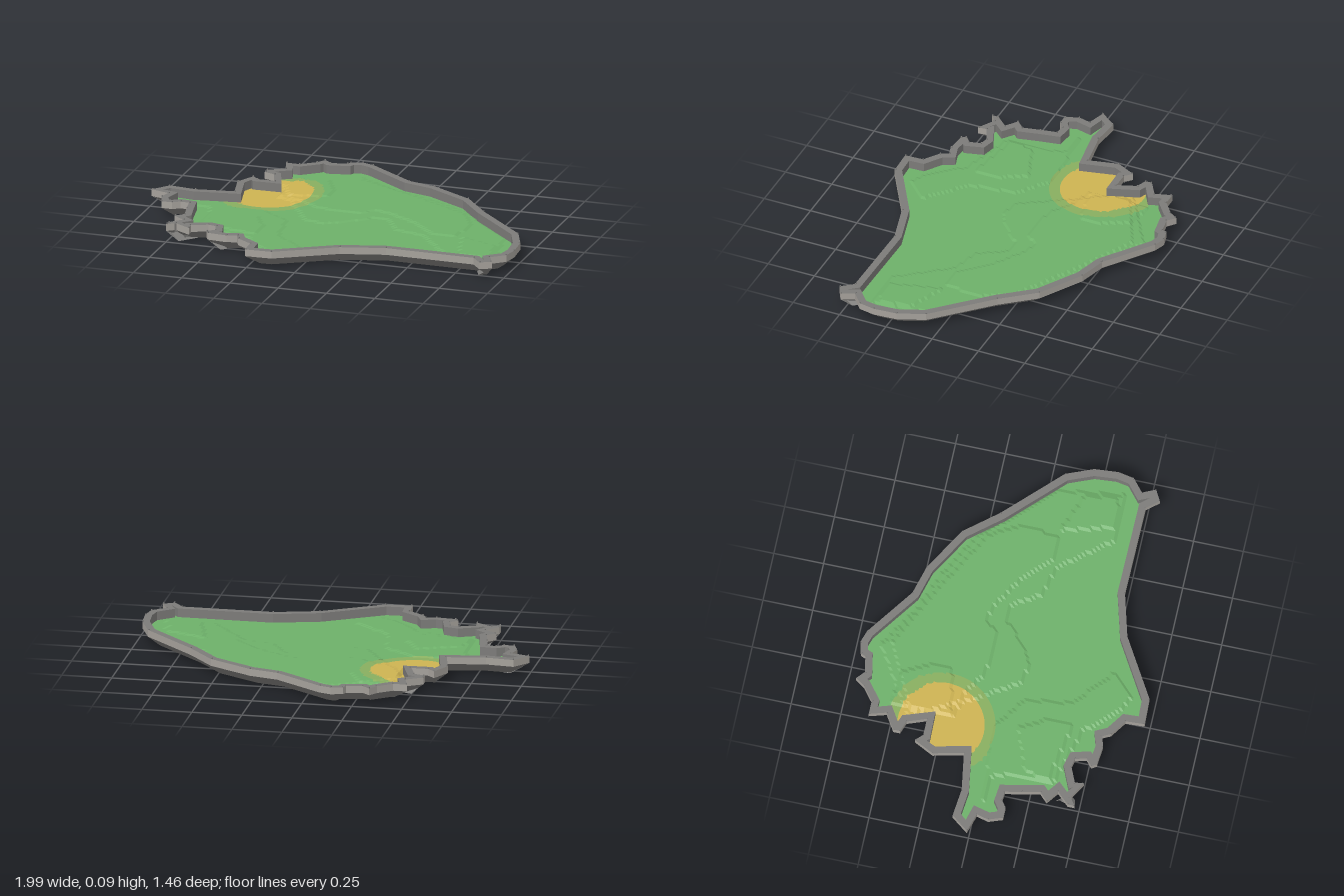
import * as THREE from 'three';

const mat = (name, color) => {
  const m = new THREE.MeshStandardMaterial({ color, side: THREE.DoubleSide, flatShading: true });
  m.name = name;
  return m;
};

// Ragged coastline as x, z pairs, clockwise seen from above
const coast = pairs([
  -0.995, -0.01, -0.93, -0.095, -0.79, -0.08, -0.6, -0.11, -0.635, -0.26, -0.585, -0.36, -0.55, -0.325,
  -0.465, -0.325, -0.5, -0.42, -0.555, -0.44, -0.555, -0.475, -0.475, -0.525, -0.5, -0.61, -0.43, -0.61,
  -0.36, -0.665, -0.33, -0.71, -0.29, -0.675, -0.21, -0.69, -0.2, -0.715, -0.14, -0.73, -0.08, -0.71,
  0.165, -0.535, 0.31, -0.495, 0.53, -0.365, 0.665, -0.2, 0.93, 0.065, 0.985, 0.2, 0.995, 0.32,
  0.98, 0.4, 0.915, 0.455, 0.945, 0.52, 0.89, 0.55, 0.84, 0.49, 0.385, 0.485, 0.165, 0.545,
  -0.13, 0.72, -0.265, 0.725, -0.27, 0.63, -0.35, 0.575, -0.37, 0.535, -0.42, 0.55, -0.52, 0.54,
  -0.535, 0.515, -0.5, 0.485, -0.515, 0.43, -0.555, 0.42, -0.635, 0.455, -0.63, 0.5, -0.715, 0.45,
  -0.755, 0.48, -0.755, 0.445, -0.7, 0.385, -0.76, 0.34, -0.72, 0.3, -0.74, 0.21, -0.755, 0.13,
  -0.8, 0.125, -0.835, 0.15, -0.89, 0.15, -0.915, 0.08, -0.9, 0.02,
]);

// Each terrace raises the ground by one step
const terraces = [
  [0.1, -0.5, 0.3, -0.42, 0.55, -0.28, 0.85, 0.05, 0.9, 0.38, 0.66, 0.38, 0.46, 0.13, 0.3, 0.08,
    0.22, -0.05, 0.14, -0.06, 0.03, 0.05, -0.075, 0.105, -0.17, 0.08, -0.3, -0.13, -0.46, -0.42, -0.12, -0.63],
  [0.15, -0.46, 0.55, -0.24, 0.63, -0.1, 0.62, 0.1, 0.5, 0.1, 0.4, 0, 0.19, -0.14, 0.11, -0.15,
    0.06, -0.08, -0.17, -0.1, -0.26, -0.17, -0.4, -0.2, -0.42, -0.42, -0.1, -0.58],
  [-0.4, -0.52, -0.24, -0.5, -0.17, -0.36, -0.17, -0.26, -0.4, -0.22],
  [0.65, 0.1, 0.85, 0.18, 0.88, 0.35, 0.72, 0.36],
  [-0.82, 0.03, -0.42, 0, -0.25, 0.12, -0.22, 0.35, -0.02, 0.52, -0.12, 0.63, -0.22, 0.58,
    -0.35, 0.43, -0.64, 0.35, -0.66, 0.05],
  [-0.62, 0.2, -0.4, 0.12, -0.33, 0.25, -0.33, 0.38, -0.63, 0.32],
].map(pairs);

const FLOOR = 0.041, STEP = 0.006, CELL = 0.016, TOP = 0.085, LEDGE = 0.05;
const SPOT = { x: -0.465, z: -0.255, inner: 0.215, outer: 0.268 };

function pairs(list) {
  const out = [];
  for (let i = 0; i < list.length; i += 2) out.push([list[i], list[i + 1]]);
  return out;
}

function inside(x, z, poly) {
  let hit = false;
  for (let i = 0, j = poly.length - 1; i < poly.length; j = i++) {
    const [ax, az] = poly[i], [bx, bz] = poly[j];
    if ((az > z) !== (bz > z) && x < ((bx - ax) * (z - az)) / (bz - az) + ax) hit = !hit;
  }
  return hit;
}

function nearestOnEdge(x, z, poly) {
  let best = Infinity, point = null;
  poly.forEach(([ax, az], i) => {
    const [bx, bz] = poly[(i + 1) % poly.length];
    const dx = bx - ax, dz = bz - az;
    const t = THREE.MathUtils.clamp(((x - ax) * dx + (z - az) * dz) / (dx * dx + dz * dz || 1), 0, 1);
    const px = ax + dx * t, pz = az + dz * t, d = Math.hypot(x - px, z - pz);
    if (d < best) { best = d; point = [px, pz]; }
  });
  return point;
}

// Moves a closed outline inwards, with limited corner lengths
function inset(poly, distance) {
  const n = poly.length;
  const normal = (a, b) => {
    const dx = b[0] - a[0], dz = b[1] - a[1], l = Math.hypot(dx, dz);
    return [-dz / l, dx / l];
  };
  return poly.map((p, i) => {
    const a = normal(poly[(i + n - 1) % n], p), b = normal(p, poly[(i + 1) % n]);
    const k = 1 / Math.max(0.3, 1 + a[0] * b[0] + a[1] * b[1]);
    const mx = (a[0] + b[0]) * k, mz = (a[1] + b[1]) * k;
    const limit = Math.min(1, 1.6 / Math.hypot(mx, mz));
    return [p[0] + mx * limit * distance, p[1] + mz * limit * distance];
  });
}

function triangles(name, positions, material) {
  const g = new THREE.BufferGeometry();
  g.setAttribute('position', new THREE.Float32BufferAttribute(positions, 3));
  g.computeVertexNormals();
  const mesh = new THREE.Mesh(g, material);
  mesh.name = name;
  return mesh;
}

// Closed band between two outlines at two heights
function band(name, low, lowY, high, highY, material) {
  const pos = [];
  low.forEach((a, i) => {
    const j = (i + 1) % low.length, b = low[j], c = high[i], d = high[j];
    const A = [a[0], lowY, a[1]], B = [b[0], lowY, b[1]], C = [c[0], highY, c[1]], D = [d[0], highY, d[1]];
    pos.push(...A, ...C, ...B, ...B, ...C, ...D);
  });
  return triangles(name, pos, material);
}

export function createModel() {
  const model = new THREE.Group();
  model.name = 'islandTray';
  const grass = mat('grass green', 0x6db069);
  const sand = mat('sand yellow', 0xcdb352);
  const blend = mat('olive ring', 0x88ae5f);
  const wallStone = mat('light stone', 0xa5a19b);
  const stone = mat('stone grey', 0x7c7b79);

  // Rim: upright wall with a flat cap, over a sloping skirt
  const floorEdge = inset(coast, 0.036);
  model.add(band('rimOuterWall', coast, LEDGE, coast, TOP, wallStone));
  model.add(band('rimCap', coast, TOP, floorEdge, TOP, stone));
  model.add(band('rimInnerWall', floorEdge, TOP, floorEdge, FLOOR, stone));
  model.add(band('rimSkirt', inset(coast, 0.06), 0, coast, LEDGE, stone));

  // Small posts on the rim corners
  const postShape = new THREE.BoxGeometry(0.006, 0.008, 0.006);
  const posts = new THREE.Group();
  posts.name = 'rimPosts';
  inset(coast, 0.004).forEach(([x, z]) => {
    const post = new THREE.Mesh(postShape, stone);
    post.name = 'rimPost';
    post.position.set(x, TOP + 0.002, z);
    posts.add(post);
  });
  model.add(posts);

  // Terraced ground on a grid, its outer vertices drawn to the rim
  const vertex = (i, j) => {
    let x = i * CELL, z = j * CELL;
    if (!inside(x, z, floorEdge)) {
      const [px, pz] = nearestOnEdge(x, z, floorEdge);
      return { p: [px, FLOOR, pz], within: false };
    }
    const y = FLOOR + STEP * terraces.filter((t) => inside(x, z, t)).length;
    const dx = x - SPOT.x, dz = z - SPOT.z, d = Math.hypot(dx, dz);
    for (const r of [SPOT.inner, SPOT.outer]) {
      if (Math.abs(d - r) < CELL / 2) {
        x = SPOT.x + (dx * r) / d;
        z = SPOT.z + (dz * r) / d;
      }
    }
    return { p: [x, y, z], within: true };
  };
  const nx = 63, nz = 46, rows = [];
  for (let j = -nz; j <= nz; j++) {
    const row = [];
    for (let i = -nx; i <= nx; i++) row.push(vertex(i, j));
    rows.push(row);
  }
  const ground = { grass: [], sand: [], blend: [] };
  const addTriangle = (a, b, c) => {
    const d = Math.hypot((a[0] + b[0] + c[0]) / 3 - SPOT.x, (a[2] + b[2] + c[2]) / 3 - SPOT.z);
    const key = d < SPOT.inner ? 'sand' : d < SPOT.outer ? 'blend' : 'grass';
    ground[key].push(...a, ...b, ...c);
  };
  for (let j = 0; j < 2 * nz; j++) {
    for (let i = 0; i < 2 * nx; i++) {
      const a = rows[j][i], b = rows[j][i + 1], c = rows[j + 1][i], d = rows[j + 1][i + 1];
      if (![a, b, c, d].some((v) => v.within)) continue;
      addTriangle(a.p, c.p, b.p);
      addTriangle(b.p, c.p, d.p);
    }
  }
  model.add(triangles('grassGround', ground.grass, grass));
  model.add(triangles('sandPatch', ground.sand, sand));
  model.add(triangles('sandPatchEdge', ground.blend, blend));
  return model;
}
